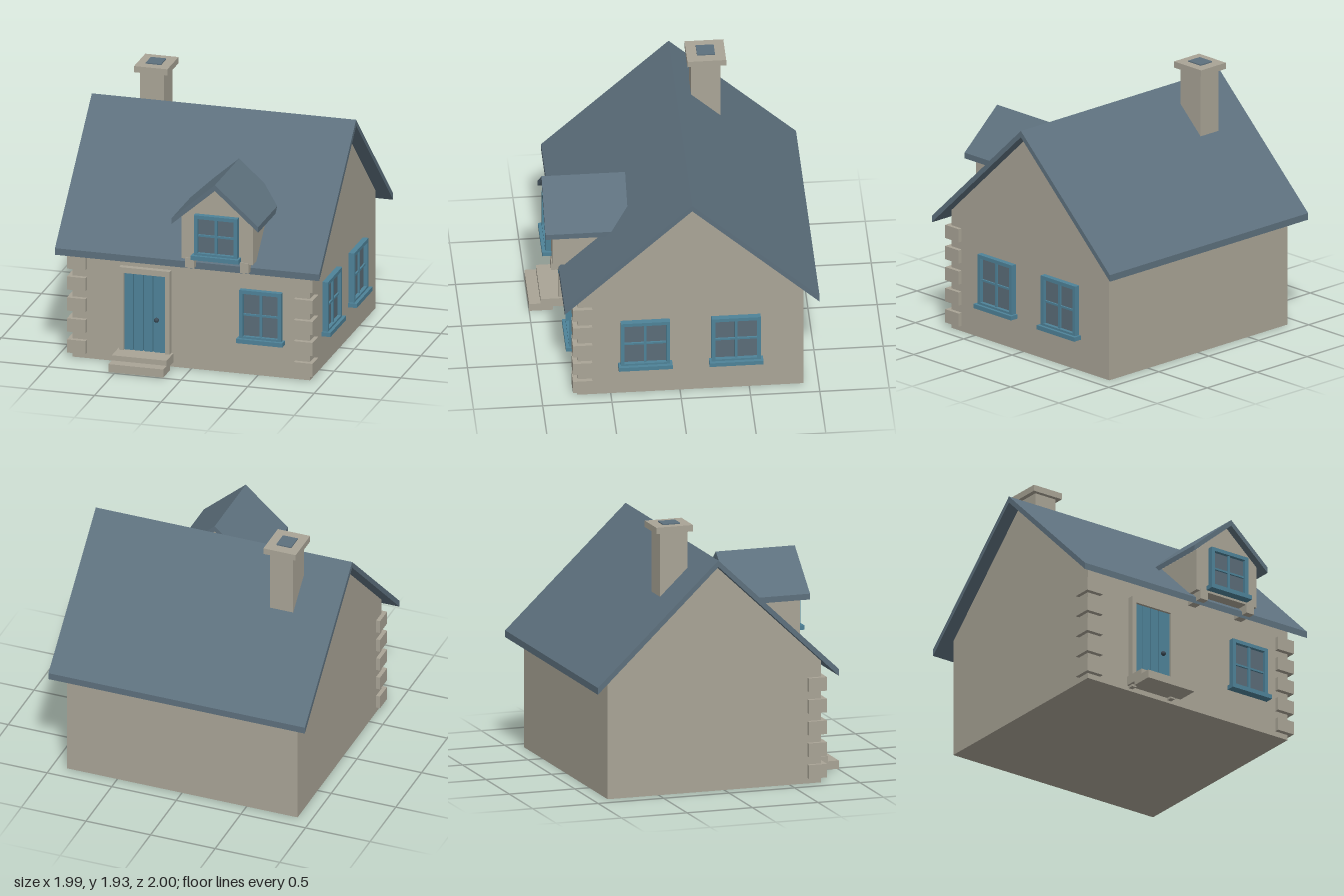
import * as THREE from 'three';

const mat = (name, color) => {
  const m = new THREE.MeshStandardMaterial({ color });
  m.name = name;
  return m;
};

export function createModel() {
  const stone = mat('stone', 0xa9a496);
  const slate = mat('slate', 0x5d707d);
  const glass = mat('glass', 0x5a6c78);
  const teal = mat('paintedWood', 0x4e8298);
  const iron = mat('iron', 0x3c4c58);

  const house = new THREE.Group();
  house.name = 'cottage';

  const add = (parent, name, geometry, material) => {
    const mesh = new THREE.Mesh(geometry, material);
    mesh.name = name;
    parent.add(mesh);
    return mesh;
  };
  // Box given by its extents on each axis
  const box = (parent, name, material, [x0, x1], [y0, y1], [z0, z1]) => {
    const mesh = add(parent, name, new THREE.BoxGeometry(x1 - x0, y1 - y0, z1 - z0), material);
    mesh.position.set((x0 + x1) / 2, (y0 + y1) / 2, (z0 + z1) / 2);
    return mesh;
  };
  const extrude = (points, depth) => new THREE.ExtrudeGeometry(
    new THREE.Shape(points.map(([x, y]) => new THREE.Vector2(x, y))),
    { depth, bevelEnabled: false });
  // Extrudes a (z, y) profile along x
  const alongX = (profile, x0, x1) => extrude(profile.map(([z, y]) => [-z, y]), x1 - x0)
    .rotateY(Math.PI / 2).translate(x0, 0, 0);
  // Extrudes an (x, y) profile along z
  const alongZ = (profile, z0, z1) => extrude(profile, z1 - z0).translate(0, 0, z0);

  // Main walls with both gables
  add(house, 'walls', alongX([
    [0.74, 0], [0.74, 0.895], [-0.08, 1.67], [-0.89, 0.9], [-0.89, 0],
  ], -0.895, 0.89), stone);

  // Main roof
  add(house, 'mainRoof', alongX([
    [0.84, 0.8], [0.84, 0.85], [-0.08, 1.72], [-1, 0.85], [-1, 0.8], [-0.08, 1.672],
  ], -0.995, 0.99), slate);

  // Corner stones on the two front corners
  for (const x of [-0.925, 0.78]) {
    for (let i = 0; i < 5; i++) {
      const y = 0.04 + i * 0.16;
      box(house, 'cornerStone', stone, [x, x + 0.14], [y, y + 0.1], [0.635, 0.775]);
    }
  }

  // Chimney
  const chimney = new THREE.Group();
  chimney.name = 'chimney';
  house.add(chimney);
  box(chimney, 'chimneyStack', stone, [-0.67, -0.49], [1.3, 1.88], [-0.41, -0.2]);
  box(chimney, 'chimneyCap', stone, [-0.705, -0.455], [1.88, 1.927], [-0.45, -0.17]);
  box(chimney, 'flue', slate, [-0.64, -0.525], [1.927, 1.935], [-0.375, -0.245]);

  // Window facing +z, its base centre on the wall at the group origin
  const addWindow = (name, w, h, x, y, z, turn = 0) => {
    const win = new THREE.Group();
    win.name = name;
    win.position.set(x, y, z);
    win.rotation.y = turn;
    house.add(win);
    const r = w / 2, t = 0.027, d = 0.042, m = 0.009;
    for (const s of [-1, 1]) {
      const c = s * (r - t / 2);
      box(win, 'frameSide', teal, [c - t / 2, c + t / 2], [0, h], [0, d]);
    }
    box(win, 'frameTop', teal, [t - r, r - t], [h - t, h], [0, d]);
    box(win, 'frameBottom', teal, [t - r, r - t], [0, t], [0, d]);
    box(win, 'pane', glass, [t - r, r - t], [t, h - t], [0.006, 0.014]);
    box(win, 'uprightBar', teal, [-m, m], [t, h - t], [0.012, 0.03]);
    box(win, 'crossBar', teal, [t - r, r - t], [h / 2 - m + 0.002, h / 2 + m - 0.002], [0.012, 0.027]);
    box(win, 'sill', teal, [-r - 0.017, r + 0.017], [-0.02, 0.012], [0, 0.066]);
  };
  addWindow('frontWindow', 0.315, 0.378, 0.528, 0.272, 0.74);
  addWindow('dormerWindow', 0.325, 0.315, 0.237, 0.925, 0.887);
  for (const z of [0.252, -0.403]) {
    addWindow('sideWindow', 0.355, 0.388, 0.89, 0.257, z, Math.PI / 2);
  }

  // Dormer: gabled body, roof and two brackets
  const dormer = new THREE.Group();
  dormer.name = 'dormer';
  house.add(dormer);
  add(dormer, 'dormerWalls', alongZ([
    [-0.03, 0.888], [0.505, 0.888], [0.505, 1.206], [0.237, 1.443], [-0.03, 1.206],
  ], 0.36, 0.887), stone);
  add(dormer, 'dormerRoof', alongZ([
    [-0.09, 1.16], [0.237, 1.445], [0.562, 1.16], [0.562, 1.203], [0.237, 1.49], [-0.09, 1.203],
  ], 0.34, 0.943), slate);
  for (const x of [0, 0.41]) {
    box(dormer, 'bracket', stone, [x, x + 0.065], [0.822, 0.9], [0.7, 0.895]);
  }

  // Door surround, planks and knob
  const door = new THREE.Group();
  door.name = 'door';
  house.add(door);
  box(door, 'surroundSide', stone, [-0.53, -0.495], [0.02, 0.735], [0.72, 0.785]);
  box(door, 'surroundSide', stone, [-0.185, -0.15], [0.02, 0.735], [0.72, 0.785]);
  box(door, 'lintel', stone, [-0.495, -0.185], [0.693, 0.735], [0.72, 0.785]);
  for (let i = 0; i < 4; i++) {
    const x = -0.495 + i * 0.0725;
    box(door, 'plank', teal, [x, i === 3 ? -0.185 : x + 0.065], [0.1, 0.693], [0.73, 0.765]);
  }
  const knob = add(door, 'knob', new THREE.SphereGeometry(0.018, 16, 12), iron);
  knob.position.set(-0.25, 0.357, 0.782);

  // Front steps
  box(house, 'upperStep', stone, [-0.545, -0.133], [0.037, 0.105], [0.73, 0.917]);
  box(house, 'lowerStep', stone, [-0.545, -0.133], [0.005, 0.066], [0.83, 1]);

  return house;
}
